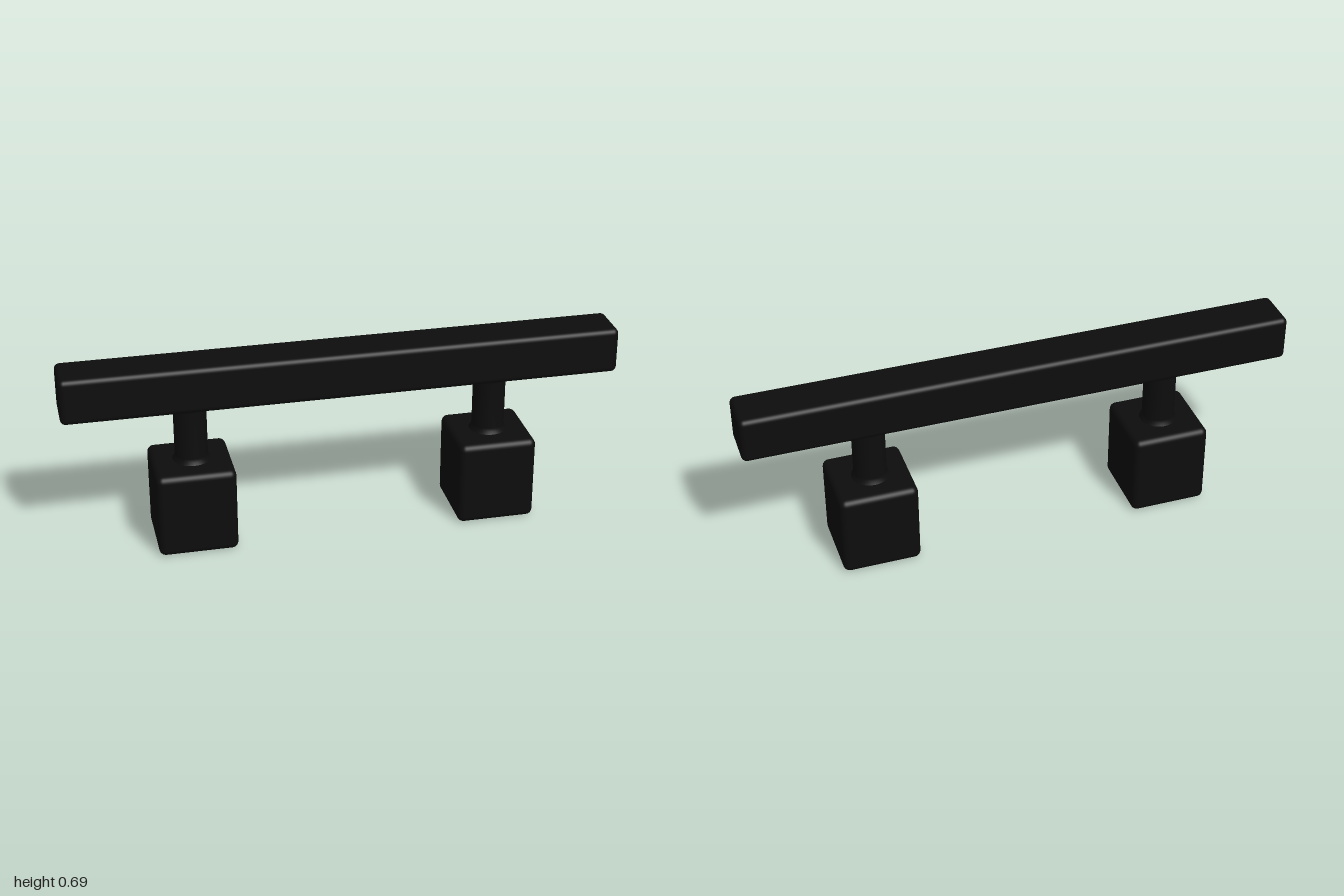
import * as THREE from 'three';
import { RoundedBoxGeometry } from 'three/addons/geometries/RoundedBoxGeometry.js';

export function createModel() {
  const group = new THREE.Group();
  const black = new THREE.MeshStandardMaterial({ color: 0x0d0d0d });

  const add = (name, geometry, x, y, z = 0) => {
    const mesh = new THREE.Mesh(geometry, black);
    mesh.name = name;
    mesh.position.set(x, y, z);
    group.add(mesh);
  };

  // long square grip bar with softened edges
  add('gripBar', new RoundedBoxGeometry(2, 0.168, 0.172, 4, 0.02), 0, 0.611);

  // round post, flared where it meets the foot and the bar
  const postProfile = [
    [0.072, 0.305], [0.068, 0.315], [0.062, 0.323], [0.059, 0.335],
    [0.059, 0.51], [0.061, 0.523], [0.066, 0.53], [0.066, 0.54],
  ].map(([r, y]) => new THREE.Vector2(r, y));
  const postGeometry = new THREE.LatheGeometry(postProfile, 32);
  const footGeometry = new RoundedBoxGeometry(0.284, 0.314, 0.284, 4, 0.024);

  // a block foot and a post on each side
  for (const [side, s] of [['left', 1], ['right', -1]]) {
    add(side + 'Foot', footGeometry, s * 0.548, 0.157);
    add(side + 'Post', postGeometry, s * 0.546, 0, -0.002);
  }
  return group;
}
